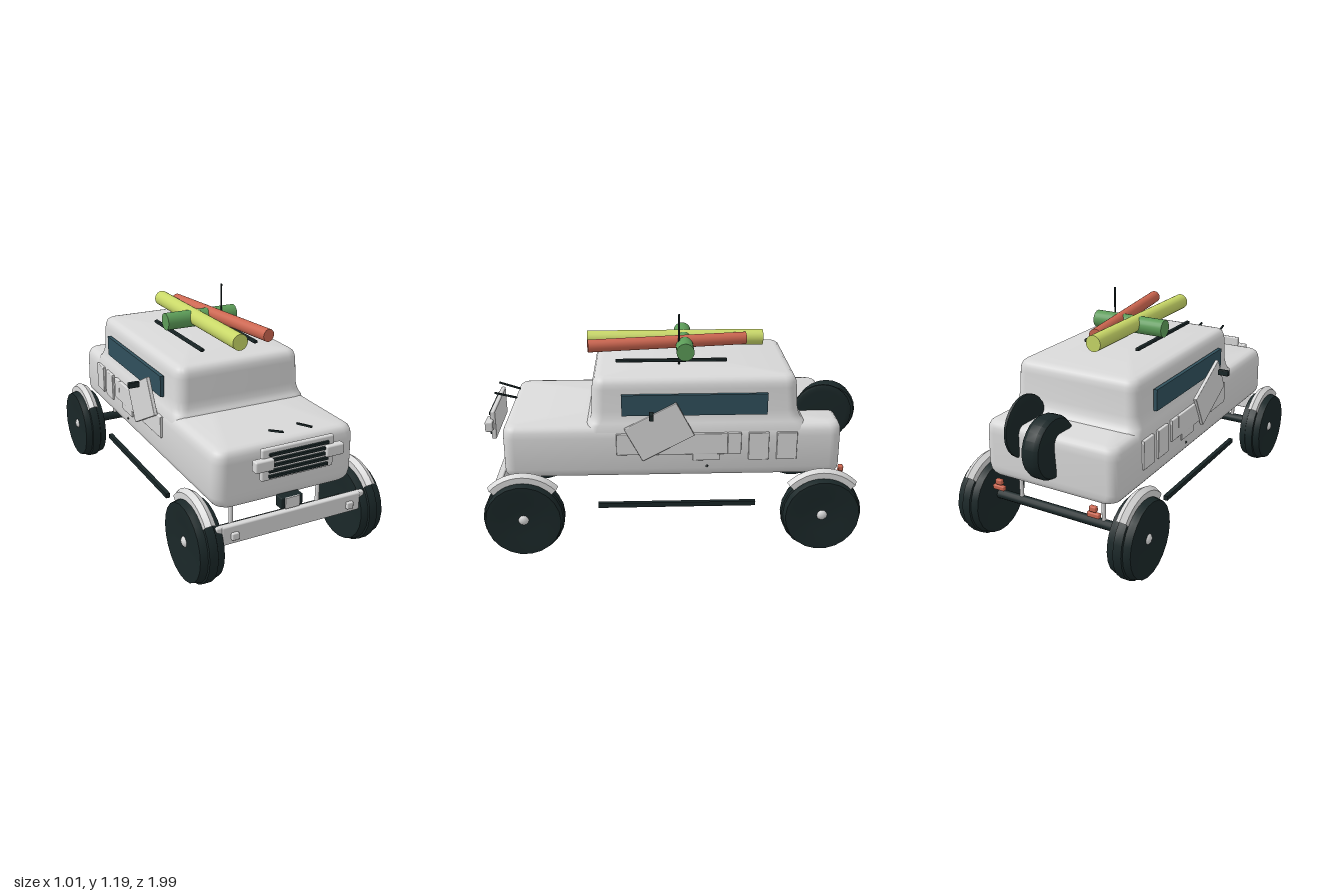
import * as THREE from 'three';
import { toCreasedNormals } from 'three/addons/utils/BufferGeometryUtils.js';
import { RoundedBoxGeometry } from 'three/addons/geometries/RoundedBoxGeometry.js';

const mat = (name, color) => Object.assign(new THREE.MeshStandardMaterial({ color }), { name });

// Closed hull through rounded-rectangle rings: [y, halfWidth, zBack, zFront, cornerRadius]
function loft(rings, steps = 8) {
  const pos = [], index = [], n = 4 * (steps + 1);
  for (const [y, hx, z0, z1, r] of rings) {
    const corners = [[hx - r, z1 - r], [r - hx, z1 - r], [r - hx, z0 + r], [hx - r, z0 + r]];
    corners.forEach(([cx, cz], q) => {
      for (let i = 0; i <= steps; i++) {
        const a = (q + i / steps) * Math.PI / 2;
        pos.push(cx + r * Math.cos(a), y, cz + r * Math.sin(a));
      }
    });
  }
  const last = (rings.length - 1) * n, bottom = rings.length * n, top = bottom + 1;
  for (const [y, , z0, z1] of [rings[0], rings[rings.length - 1]]) pos.push(0, y, (z0 + z1) / 2);
  for (let j = 0; j < n; j++) {
    const j1 = (j + 1) % n;
    for (let k = 0; k < last; k += n) {
      index.push(k + j, k + n + j, k + n + j1, k + j, k + n + j1, k + j1);
    }
    index.push(bottom, j, j1, top, last + j1, last + j);
  }
  const g = new THREE.BufferGeometry();
  g.setAttribute('position', new THREE.Float32BufferAttribute(pos, 3));
  g.setIndex(index);
  g.computeVertexNormals();
  return toCreasedNormals(g, 0.75);
}

export function createModel() {
  const model = new THREE.Group();
  model.name = 'offRoadTruck';
  const white = mat('bodyWhite', 0xd8d8d8);
  const black = mat('rubberBlack', 0x1a2728);
  const glass = mat('windowTeal', 0x30505c);
  const green = mat('rollGreen', 0x5c9c58);
  const yellow = mat('rollYellow', 0xc9d868);
  const orange = mat('rollOrange', 0xcc6650);

  const add = (name, geo, material, x = 0, y = 0, z = 0, parent = model) => {
    const m = new THREE.Mesh(geo, material);
    m.name = name;
    m.position.set(x, y, z);
    parent.add(m);
    return m;
  };
  const box = (w, h, d) => new THREE.BoxGeometry(w, h, d);
  const soft = (w, h, d, r = 0.008) => new RoundedBoxGeometry(w, h, d, 2, r);
  const rod = (r, len, sides = 24) => new THREE.CylinderGeometry(r, r, len, sides);

  // Lower body and cabin
  add('lowerBody', loft([
    [0.39, 0.345, -0.84, 0.88, 0.05], [0.397, 0.362, -0.845, 0.885, 0.055],
    [0.412, 0.375, -0.85, 0.89, 0.06], [0.44, 0.383, -0.85, 0.89, 0.06],
    [0.61, 0.38, -0.85, 0.89, 0.06], [0.64, 0.376, -0.848, 0.888, 0.06],
    [0.66, 0.366, -0.84, 0.88, 0.055], [0.67, 0.352, -0.828, 0.868, 0.05],
    [0.675, 0.33, -0.81, 0.85, 0.04]]), white);
  add('cabin', loft([
    [0.64, 0.376, -0.68, 0.47, 0.06], [0.672, 0.371, -0.66, 0.462, 0.06],
    [0.685, 0.365, -0.645, 0.448, 0.06], [0.71, 0.357, -0.632, 0.438, 0.06],
    [0.745, 0.35, -0.624, 0.434, 0.06], [0.86, 0.346, -0.616, 0.43, 0.06],
    [0.885, 0.343, -0.613, 0.427, 0.06], [0.905, 0.333, -0.603, 0.417, 0.05],
    [0.916, 0.318, -0.588, 0.402, 0.04], [0.92, 0.298, -0.568, 0.382, 0.03]]), white);

  // Parts mirrored on both sides
  for (const s of [1, -1]) {
    add('sideWindow', box(0.02, 0.11, 0.74), glass, s * 0.364, 0.785, -0.09);
    add('sidePanel', soft(0.02, 0.115, 0.57, 0.004), white, s * 0.382, 0.578, 0.025);
    add('sidePanelTab', soft(0.02, 0.1, 0.14, 0.004), white, s * 0.381, 0.535, -0.15);
    add('sidePanelEnd', soft(0.02, 0.115, 0.07, 0.004), white, s * 0.382, 0.578, -0.295);
    for (const z of [-0.42, -0.565]) {
      add('sideLocker', soft(0.02, 0.15, 0.105, 0.004), white, s * 0.382, 0.56, z);
    }
    add('panelLatch', new THREE.OctahedronGeometry(0.013), black, s * 0.378, 0.45, -0.155);
    const plate = add('tiltedPlate', soft(0.02, 0.2, 0.3, 0.004), white, s * 0.396, 0.65, 0.09);
    plate.rotation.x = s * 0.485;
    add('mirror', soft(0.06, 0.03, 0.022, 0.004), black, s * 0.458, 0.76, 0.13);
    add('sideSill', box(0.022, 0.025, 0.82), black, s * 0.4, 0.243, 0);
    add('roofRail', soft(0.02, 0.016, 0.58, 0.004), black, s * 0.153, 0.952, 0.02);
    add('headlight', soft(0.097, 0.056, 0.04), white, s * 0.188, 0.622, 0.978);
    add('bumperLight', soft(0.036, 0.036, 0.02, 0.005), white, s * 0.316, 0.287, 0.963);
    add('tailLight', soft(0.068, 0.025, 0.024, 0.006), orange, s * 0.275, 0.345, -0.882);
    add('tailLightTop', soft(0.038, 0.028, 0.024, 0.006), orange, s * 0.273, 0.376, -0.882);
  }

  // Wheels, mudguards, axles and struts
  const tyre = toCreasedNormals(new THREE.LatheGeometry([
    [0, -0.05], [0.1, -0.054], [0.17, -0.062], [0.192, -0.062], [0.196, -0.045], [0.2, -0.026],
    [0.208, -0.022], [0.208, 0.022], [0.2, 0.026], [0.196, 0.045], [0.192, 0.062],
    [0.17, 0.062], [0.1, 0.054], [0, 0.05],
  ].map(([r, y]) => new THREE.Vector2(r, y)), 22), 0.4).rotateZ(Math.PI / 2);
  const guard = new THREE.TorusGeometry(0.215, 0.031, 6, 12, 1.65)
    .rotateZ(Math.PI / 2 - 0.825).rotateY(Math.PI / 2);
  for (const z of [0.79, -0.748]) {
    add('axle', rod(0.025, 0.78, 12).rotateZ(Math.PI / 2), black, 0, 0.22, z);
    for (const s of [1, -1]) {
      add('wheel', tyre, black, s * 0.44, 0.208, z);
      add('hub', new THREE.SphereGeometry(0.033, 12, 8), white, s * 0.473, 0.21, z);
      add('mudguard', toCreasedNormals(guard, 0.5), white, s * 0.44, 0.208, z);
      add('strut', rod(0.011, 0.2, 10), white, s * 0.245, 0.31, z);
    }
  }

  // Front bumper, winch and grille
  add('bumper', soft(0.76, 0.095, 0.035), white, 0, 0.292, 0.94);
  add('bumperLip', soft(0.815, 0.036, 0.03), white, 0, 0.322, 0.938);
  add('winch', soft(0.12, 0.056, 0.05, 0.005), black, 0, 0.373, 0.912);
  add('winchCover', box(0.078, 0.056, 0.008), white, 0, 0.373, 0.94);
  add('grillePlate', soft(0.385, 0.158, 0.025), white, 0, 0.614, 0.962);
  for (let i = 0; i < 5; i++) {
    add('grilleBar', box(0.314, 0.013, 0.02), black, 0, 0.557 + i * 0.027, 0.976);
  }
  for (const [x, tilt] of [[-0.083, 0.32], [0.069, 0.24]]) {
    add('hoodRod', box(0.009, 0.009, 0.122), black, x, 0.737, 0.905).rotation.x = -tilt;
  }

  // Underside plate
  add('underPlate', box(0.31, 0.015, 0.62), black, 0, 0.377, 0.09);

  // Spare wheels on the tail
  const spare = (width, r) => toCreasedNormals(new THREE.LatheGeometry([
    [0, -0.42], [0.8, -0.5], [0.93, -0.46], [1, -0.25], [1, 0.25], [0.93, 0.46], [0.8, 0.5], [0, 0.42],
  ].map(([a, b]) => new THREE.Vector2(a * r, b * width)), 24), 0.5).rotateZ(Math.PI / 2);
  add('spareWheel', spare(0.1, 0.158), black, 0, 0.61, -0.838);
  add('thinSpareWheel', spare(0.026, 0.158), black, 0.177, 0.657, -0.778);

  // Rolled cargo and antenna on the roof
  add('greenRoll', rod(0.046, 0.41).rotateZ(Math.PI / 2), green, 0.01, 1.011, -0.05);
  add('yellowRoll', rod(0.042, 0.94).rotateX(Math.PI / 2), yellow, -0.026, 1.02, -0.006);
  const roll = add('orangeRoll', rod(0.033, 0.84).rotateX(Math.PI / 2), orange, 0.083, 1.029, 0.037);
  roll.rotation.y = 0.14;
  add('antenna', rod(0.005, 0.28, 8), black, 0.124, 1.048, -0.02);

  return model;
}
